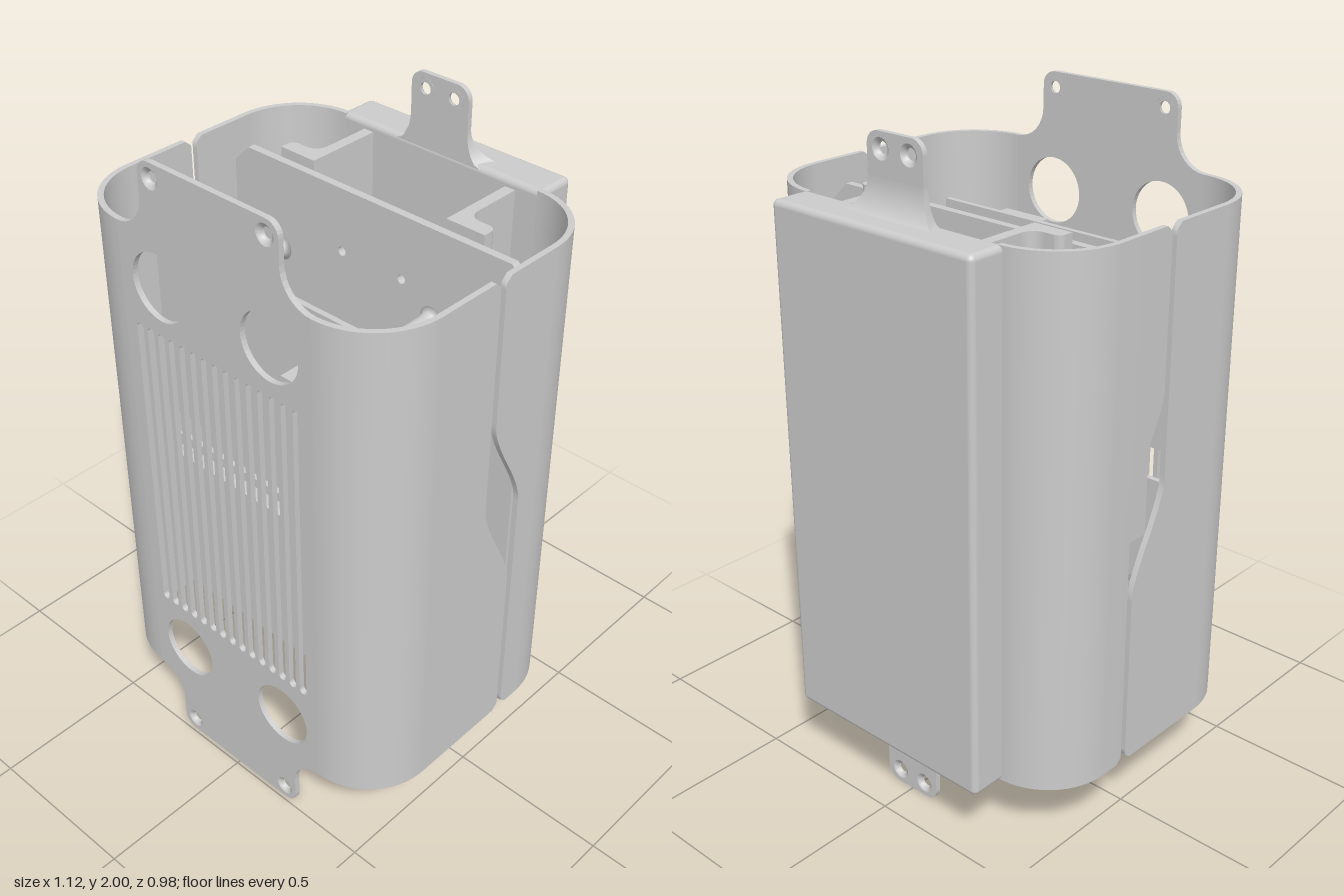
import * as THREE from 'three';
import { RoundedBoxGeometry } from 'three/addons/geometries/RoundedBoxGeometry.js';

const LOW = 0.215, TOP = 1.79, WALL = 0.017, R = 0.215, FLAT = 0.345;

export function createModel() {
  const model = new THREE.Group();
  const mat = new THREE.MeshStandardMaterial({ color: 0xcccccc });
  const add = (name, geo, x = 0, y = 0, z = 0) => {
    const m = new THREE.Mesh(geo, mat);
    m.name = name;
    m.position.set(x, y, z);
    model.add(m);
    return m;
  };
  // box given by its limits
  const block = (name, x0, x1, y0, y1, z0, z1) =>
    add(name, new THREE.BoxGeometry(x1 - x0, y1 - y0, z1 - z0), (x0 + x1) / 2, (y0 + y1) / 2, (z0 + z1) / 2);
  const extrude = (shape, depth) => new THREE.ExtrudeGeometry(shape, { depth, bevelEnabled: false, curveSegments: 24 });
  const circle = (x, y, r) => new THREE.Path().absarc(x, y, r, 0, Math.PI * 2, true);
  const flip = (geo) => {
    const a = geo.index.array;
    for (let i = 0; i < a.length; i += 3) [a[i], a[i + 1]] = [a[i + 1], a[i]];
  };
  // solid of revolution lying along +z
  const turned = (points, seg = 24) =>
    new THREE.LatheGeometry(points.map(([r, h]) => new THREE.Vector2(r, h)), seg).rotateX(Math.PI / 2);
  // countersunk lining of a screw hole, wide end toward dir
  const countersink = (x, y, z, dir) => {
    const g = turned([[0.018, -0.0085], [0.018, 0], [0.03, 0.0085]]);
    if (dir < 0) g.rotateY(Math.PI);
    const m = add('screwHoleCountersink', g, x, y, z);
    m.material = new THREE.MeshStandardMaterial({ color: 0xcccccc, side: THREE.DoubleSide });
    add('screwHoleRim', new THREE.RingGeometry(0.018, 0.03, 24).rotateY(dir > 0 ? Math.PI : 0), x, y, z - dir * 0.0085);
  };

  // front panel with mounting ears, round openings and vent slots
  const quarter = [];
  for (let i = 0; i <= 8; i++) {
    const a = -Math.PI / 2 - (i / 8) * Math.PI / 2;
    quarter.push([FLAT + 0.1 * Math.cos(a), TOP - 1 + 0.1 + 0.1 * Math.sin(a)]);
  }
  for (let i = 0; i <= 6; i++) {
    const a = (i / 6) * Math.PI / 2;
    quarter.push([0.205 + 0.04 * Math.cos(a), 0.96 + 0.04 * Math.sin(a)]);
  }
  const back = [...quarter].reverse();
  const outline = [
    ...quarter, ...back.map(([x, y]) => [-x, y]),
    ...quarter.map(([x, y]) => [-x, -y]), ...back.map(([x, y]) => [x, -y]),
  ];
  const panel = new THREE.Shape(outline.map(([x, y]) => new THREE.Vector2(x, y + 1)));
  for (const x of [-0.2, 0.2]) {
    for (const y of [0.36, 1.645]) panel.holes.push(circle(x, y, 0.1));
    for (const y of [0.045, 1.955]) {
      panel.holes.push(circle(x, y, 0.03));
      countersink(x, y, 0.4805, 1);
    }
  }
  for (let i = -7; i <= 7; i++) {
    const slot = new THREE.Path(), r = 0.013, x = i * 0.0413;
    slot.absarc(x, 1.487, r, 0, Math.PI, false);
    slot.absarc(x, 0.523, r, Math.PI, Math.PI * 2, false);
    slot.closePath();
    panel.holes.push(slot);
  }
  add('frontPanel', extrude(panel, WALL), 0, 0, 0.489 - WALL);

  // curved shell sides, ending at a stepped parting gap
  const step = (y, zTop, yHigh, zLow, yLow) => {
    const t = THREE.MathUtils.clamp((y - yLow) / (yHigh - yLow), 0, 1);
    const s = t * t * (3 - 2 * t);
    return zLow + (zTop - zLow) * (0.5 * t + 0.5 * s);
  };
  const shellSide = (name, sx, sz) => {
    const g = new THREE.BoxGeometry(1, 1, 1, 17, 90, 1), p = g.attributes.position;
    const cz = sz > 0 ? 0.489 - R : -0.381 + R;
    for (let i = 0; i < p.count; i++) {
      const k = (p.getX(i) + 0.5) * 17, y = LOW + (p.getY(i) + 0.5) * (TOP - LOW);
      const r = R - (0.5 - p.getZ(i)) * WALL;
      const a = Math.PI / 2 * (1 - Math.min(k, 16) / 16);
      let z = cz + sz * r * Math.sin(a);
      if (k > 16.5) {
        const d = Math.max(0, 0.02 - Math.min(y - LOW, TOP - y));
        const pull = 0.02 - Math.sqrt(Math.max(0, 0.0004 - d * d));
        z = (sz > 0 ? step(y, 0.055, 1.06, -0.07, 0.76) : step(y, 0.035, 1.33, -0.09, 1.04)) + sz * pull;
      }
      p.setXYZ(i, sx * (FLAT + r * Math.cos(a)), y, z);
    }
    if (sx * sz < 0) flip(g);
    g.computeVertexNormals();
    add(name, g);
  };
  for (const sx of [-1, 1]) {
    shellSide('frontShellSide', sx, 1);
    shellSide('rearShellSide', sx, -1);
  }

  // rear box
  add('rearBox', new RoundedBoxGeometry(0.724, TOP - LOW, 0.126, 4, 0.018), 0, (TOP + LOW) / 2, -0.428);

  // rear mounting tabs with a flared foot
  for (const dir of [-1, 1]) {
    const yAt = (h) => dir > 0 ? TOP + h : LOW - h;
    const foot = new THREE.BoxGeometry(1, 1, 1, 1, 12, 1), p = foot.attributes.position;
    for (let i = 0; i < p.count; i++) {
      const t = p.getY(i) + 0.5, k = 1 - Math.sqrt(1 - (1 - t) ** 2);
      const rear = p.getZ(i) < 0;
      const w = 0.1 + (rear ? 0.1 : 0.05) * k;
      p.setXYZ(i, Math.sign(p.getX(i)) * w, yAt(-0.01 + 0.1 * t), rear ? -0.382 - 0.068 * k : -0.366);
    }
    if (dir < 0) flip(foot);
    foot.computeVertexNormals();
    add('rearTabFoot', foot);

    const tab = new THREE.Shape();
    const y0 = yAt(0.09), c = dir > 0 ? 1.96 : 0.04;
    tab.moveTo(-0.1, y0);
    tab.lineTo(0.1, y0);
    tab.absarc(0.06, c, 0.04, 0, dir * Math.PI / 2, dir < 0);
    tab.absarc(-0.06, c, 0.04, dir * Math.PI / 2, dir * Math.PI, dir < 0);
    tab.closePath();
    for (const x of [-0.05, 0.05]) {
      const y = dir > 0 ? 1.955 : 0.045;
      tab.holes.push(circle(x, y, 0.03));
      countersink(x, y, -0.374, -1);
    }
    add('rearTab', extrude(tab, 0.016), 0, 0, -0.382);
  }

  // rails carrying the base plate, L-shaped with a rounded inner corner
  for (const s of [-1, 1]) {
    const rail = new THREE.Shape();
    rail.moveTo(s * 0.238, 0.37);
    rail.lineTo(s * 0.272, 0.37);
    rail.lineTo(s * 0.272, 0.21);
    rail.quadraticCurveTo(s * 0.275, 0.17, s * 0.315, 0.17);
    rail.lineTo(s * 0.345, 0.17);
    rail.quadraticCurveTo(s * 0.365, 0.165, s * 0.365, 0.15);
    rail.lineTo(s * 0.365, 0.122);
    rail.lineTo(s * 0.238, 0.122);
    rail.closePath();
    add('supportRail', extrude(rail, 1.53).rotateX(-Math.PI / 2), 0, 0.235, 0);
  }

  // base plate with cut corners and small holes
  const plate = new THREE.Shape();
  [[0.53, 0.32], [0.53, 1.68], [0.475, 1.735], [-0.475, 1.735], [-0.53, 1.68], [-0.53, 0.32], [-0.475, 0.265], [0.475, 0.265]]
    .forEach(([x, y], i) => (i ? plate.lineTo(x, y) : plate.moveTo(x, y)));
  for (const x of [-0.11, 0.11]) for (const y of [0.46, 1.54]) plate.holes.push(circle(x, y, 0.014));
  add('basePlate', extrude(plate, 0.024), 0, 0, -0.122);

  // circuit board on short feet with its large component
  block('circuitBoard', -0.39, 0.385, 0.515, 1.09, -0.065, -0.05);
  block('boardComponent', -0.39, 0, 0.78, 1.29, -0.05, 0.21);
  for (const x of [-0.35, 0.32]) for (const y of [0.55, 1.05])
    add('boardFoot', turned([[0, 0], [0.055, 0], [0.045, 0.01], [0.028, 0.024], [0.025, 0.034], [0, 0.034]]), x, y, -0.099);

  // long flared standoffs between the base plate and the front modules
  for (const x of [-0.35, 0.22]) for (const y of [0.55, 1.46])
    add('standoff', turned([[0, 0], [0.04, 0], [0.028, 0.015], [0.024, 0.04], [0.024, 0.3], [0.03, 0.325], [0.045, 0.343], [0.065, 0.35], [0, 0.35]]), x, y, -0.099);

  // two front modules, each a thin plate with a thicker body
  for (const [y0, y1] of [[0.385, 0.94], [1.04, 1.62]]) {
    block('modulePlate', -0.44, 0.44, y0, y1, 0.25, 0.267);
    block('moduleBody', -0.418, 0.418, y0 + 0.03, y1 - 0.03, 0.267, 0.31);
  }
  block('moduleConnector', 0.21, 0.38, 1.07, 1.555, 0.31, 0.462);

  return model;
}
